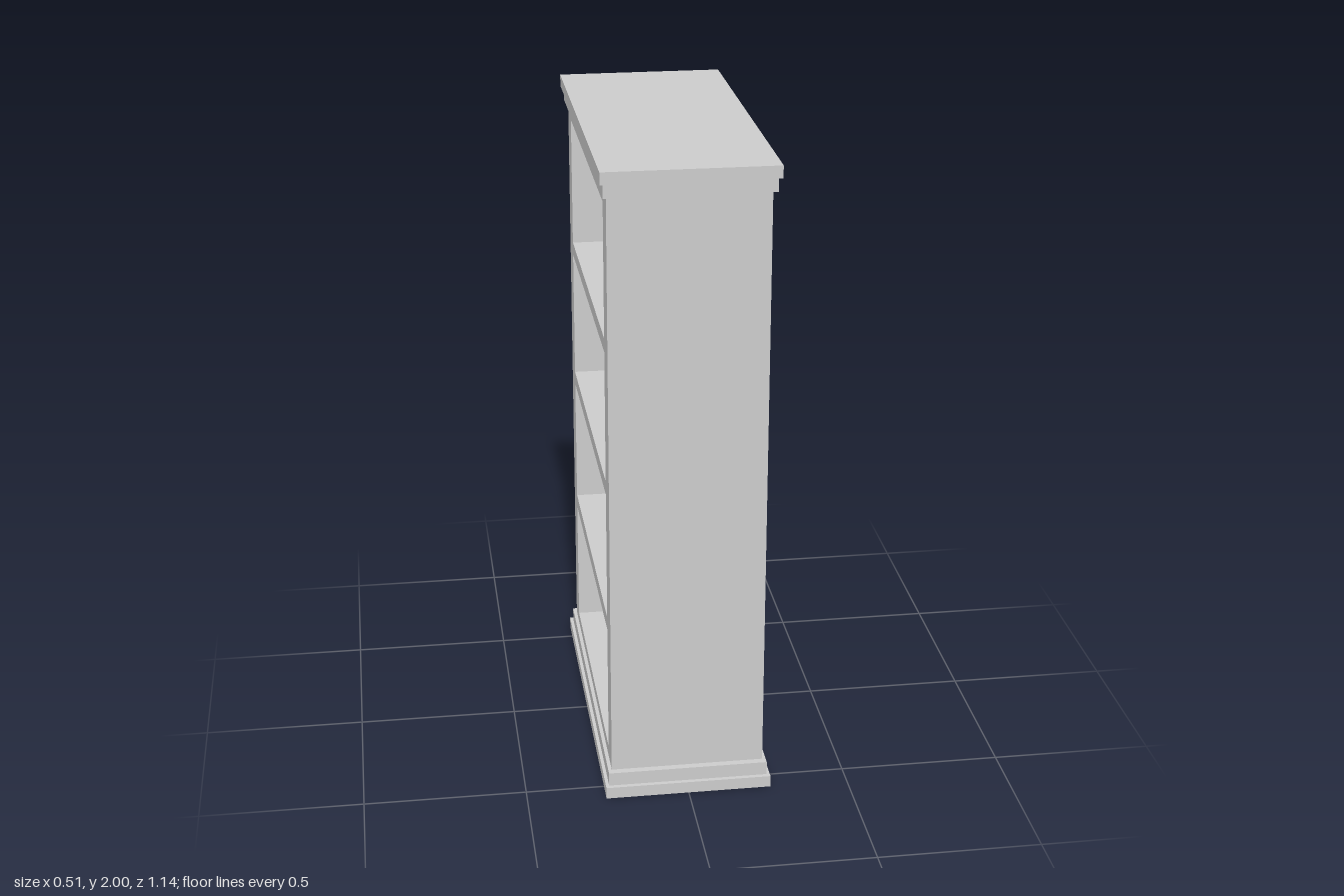
import * as THREE from 'three';

// Bookcase whose open side faces -x
export function createModel() {
  const group = new THREE.Group();
  const material = new THREE.MeshStandardMaterial({ color: 0xcccccc });

  // Box given by its minimum and maximum corners
  function box(name, [x0, y0, z0], [x1, y1, z1]) {
    const mesh = new THREE.Mesh(new THREE.BoxGeometry(x1 - x0, y1 - y0, z1 - z0), material);
    mesh.position.set((x0 + x1) / 2, (y0 + y1) / 2, (z0 + z1) / 2);
    mesh.name = name;
    group.add(mesh);
  }
  // Board centred on x and z
  const slab = (name, hx, hz, y0, y1) => box(name, [-hx, y0, -hz], [hx, y1, hz]);

  const bodyX = 0.236, bodyZ = 0.535;   // half depth and half width of the carcass
  const innerX = 0.211, innerZ = 0.453; // back panel face and inner side faces
  const bottom = 0.08, top = 1.92;
  const floorTop = 0.115, pitch = 0.452, thickness = 0.042;

  // Stepped plinth and cornice
  slab('plinthBase', 0.257, 0.571, 0, 0.037);
  slab('plinthStep', 0.247, 0.557, 0.037, bottom);
  slab('corniceStep', 0.247, 0.557, top, 1.963);
  slab('corniceTop', 0.257, 0.571, 1.963, 2);

  // Thick side walls and thin back panel
  box('leftSide', [-bodyX, bottom, -bodyZ], [bodyX, top, -innerZ]);
  box('rightSide', [-bodyX, bottom, innerZ], [bodyX, top, bodyZ]);
  box('backPanel', [innerX, bottom, -innerZ], [bodyX, top, innerZ]);

  // Floor, three shelves and ceiling, evenly spaced and flush with the open side
  const names = ['floorBoard', 'lowerShelf', 'middleShelf', 'upperShelf', 'ceilingBoard'];
  names.forEach((name, i) => {
    const y = floorTop + i * pitch;
    box(name, [-bodyX, Math.max(bottom, y - thickness), -innerZ], [innerX, Math.min(top, y), innerZ]);
  });

  return group;
}
